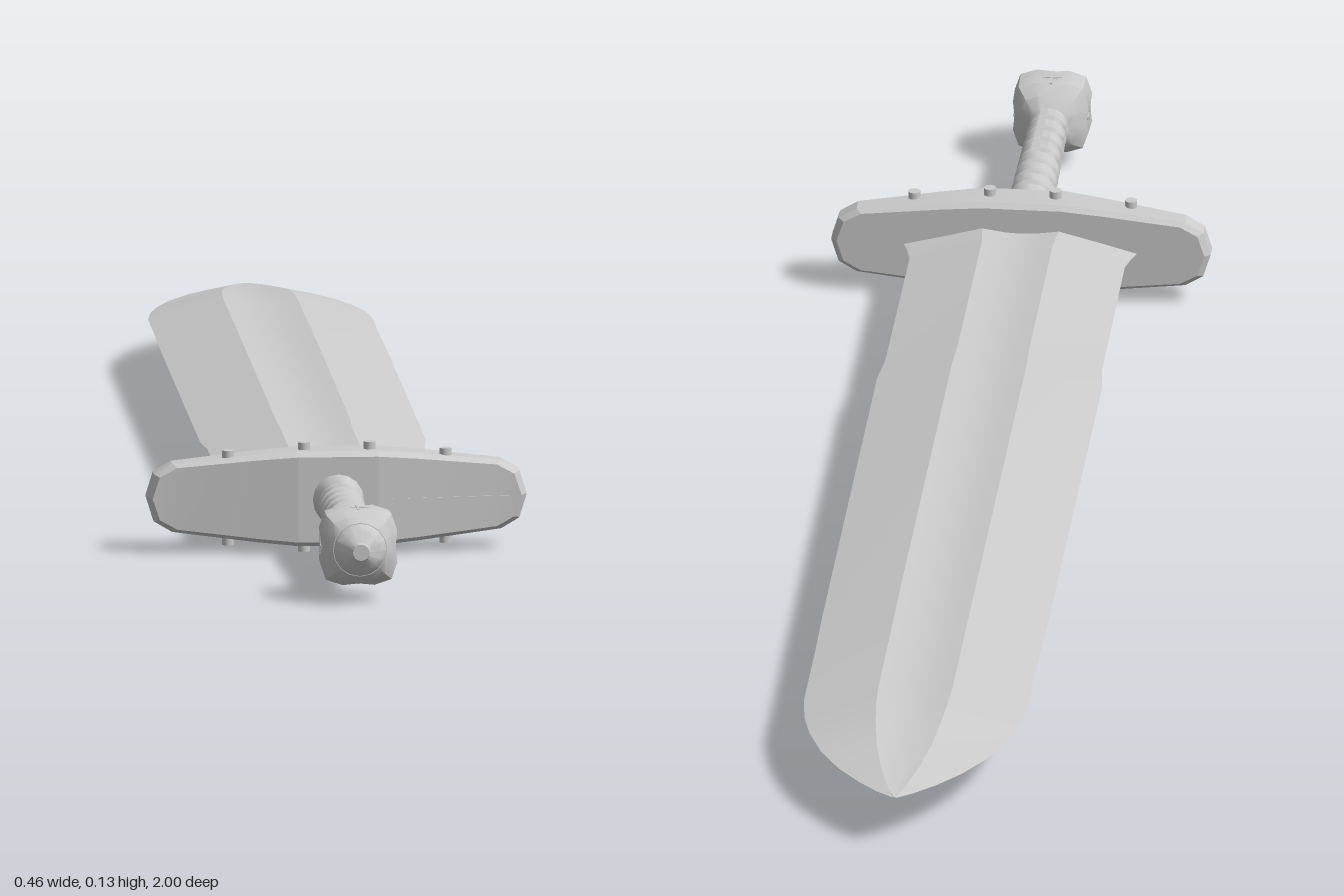
import * as THREE from 'three';
import { toCreasedNormals } from 'three/addons/utils/BufferGeometryUtils.js';

const CY = 0.067; // height of the sword's long axis
const material = new THREE.MeshStandardMaterial({ color: 0xcccccc });

function part(parent, name, geometry) {
  const mesh = new THREE.Mesh(geometry, material);
  mesh.name = name;
  parent.add(mesh);
  return mesh;
}

// Skin through rings of [x, y, z], counter-clockwise seen from +z, ordered by rising z
function loft(rings, crease = 0.5) {
  const n = rings[0].length, pos = [], index = [];
  rings.forEach(r => r.forEach(p => pos.push(...p)));
  for (let k = 0; k < rings.length - 1; k++) {
    for (let i = 0; i < n; i++) {
      const j = (i + 1) % n, a = k * n + i, b = k * n + j;
      index.push(a, b, b + n, a, b + n, a + n);
    }
  }
  const last = (rings.length - 1) * n;
  for (let i = 1; i < n - 1; i++) {
    index.push(0, i + 1, i, last, last + i, last + i + 1);
  }
  const g = new THREE.BufferGeometry();
  g.setAttribute('position', new THREE.Float32BufferAttribute(pos, 3));
  g.setIndex(index);
  return toCreasedNormals(g, crease);
}

// Mirror a quarter outline (from +x axis to +y axis) into a full loop
function mirrorQuarter(q) {
  const half = [...q, ...q.slice(0, -1).reverse().map(([x, y]) => [-x, y])];
  return [...half, ...half.slice(1, -1).reverse().map(([x, y]) => [x, -y])];
}

// Bevelled blade with a shallow central fuller: [z, half width, half thickness]
function bladeGeometry() {
  const section = mirrorQuarter([[1, 0], [0.33, 1], [0.27, 0.95], [0.12, 0.83], [0, 0.8]]);
  const stations = [
    [-1, 0.002, 0.001], [-0.985, 0.022, 0.003], [-0.96, 0.047, 0.006], [-0.925, 0.075, 0.01],
    [-0.88, 0.101, 0.015], [-0.83, 0.12, 0.021], [-0.79, 0.13, 0.0245], [-0.74, 0.136, 0.025],
    [-0.6, 0.136, 0.0255], [-0.5, 0.137, 0.027], [0.17, 0.137, 0.027], [0.22, 0.132, 0.0255],
    [0.51, 0.131, 0.0255], [0.535, 0.137, 0.0255], [0.56, 0.146, 0.0255],
  ];
  return loft(stations.map(([z, w, t]) => section.map(([x, y]) => [x * w, y * t, z])), 0.15);
}

// Tapered crossguard plate with chamfered rims and a faceted front
function guardGeometry() {
  const outline = mirrorQuarter([[0.231, 0], [0.222, 0.029], [0.2, 0.042], [0.1, 0.0535], [0.05, 0.058], [0, 0.058]]);
  const front = x => 0.605 - 0.02 * THREE.MathUtils.clamp((Math.abs(x) - 0.05) / 0.16, 0, 1);
  const ring = (inset, z) => outline.map(([x, y]) =>
    [x * (1 - inset * 0.3), y * (1 - inset), z(x)]);
  return loft([
    ring(0.1, () => 0.549),
    ring(0, () => 0.555),
    ring(0, x => front(x) - 0.01),
    ring(0.1, front),
    outline.map(([x, y]) => [x * 0.97, 0, front(x)]),
  ], 0.12);
}

// Ribbed grip, turned around the long axis
function gripGeometry() {
  const p = [[0, 0.58], [0.031, 0.58], [0.031, 0.615], [0.027, 0.645], [0.022, 0.65]];
  const ribs = 8, start = 0.652, step = 0.0315;
  for (let i = 0; i < ribs; i++) {
    const z = start + i * step, r = 0.028 - 0.0005 * i;
    p.push([r - 0.005, z], [r, z + 0.005], [r, z + 0.023], [r - 0.005, z + 0.028]);
  }
  p.push([0.022, 0.915], [0, 0.915]);
  const g = new THREE.LatheGeometry(p.map(([r, z]) => new THREE.Vector2(r, z)), 16);
  return toCreasedNormals(g.rotateX(Math.PI / 2), 0.6);
}

// Pommel: bulging rounded-square block, [z, radius, squareness]
function pommelGeometry() {
  const stations = [
    [0.895, 0.024, 0], [0.905, 0.035, 0.5], [0.92, 0.044, 0.8],
    [0.955, 0.045, 0.8], [0.97, 0.038, 0.5], [0.978, 0.033, 0],
  ];
  return loft(stations.map(([z, r, s]) => {
    const ring = [];
    for (let i = 0; i < 16; i++) {
      const a = i / 16 * Math.PI * 2, c = Math.cos(a), d = Math.sin(a);
      const k = r * (1 + s * 0.32 * Math.sin(2 * a) ** 2);
      ring.push([c * k, d * k, z]);
    }
    return ring;
  }), 0.5);
}

export function createModel() {
  const sword = new THREE.Group();
  sword.name = 'sword';

  part(sword, 'blade', bladeGeometry());
  part(sword, 'guard', guardGeometry());
  part(sword, 'grip', gripGeometry());

  // Pommel with domed end cap and cross-shaped inlays on its four sides
  const pommel = new THREE.Group();
  pommel.name = 'pommel';
  sword.add(pommel);
  part(pommel, 'pommelBlock', pommelGeometry());
  const dome = [[0.033, 0.975], [0.031, 0.982], [0.024, 0.99], [0.012, 0.997], [0.01, 1], [0, 1]];
  const domeGeometry = new THREE.LatheGeometry(dome.map(([r, z]) => new THREE.Vector2(r, z)), 16);
  part(pommel, 'pommelCap', toCreasedNormals(domeGeometry.rotateX(Math.PI / 2), 0.5));
  for (let i = 0; i < 4; i++) {
    const cross = new THREE.Group();
    cross.name = 'pommelCross';
    cross.rotation.z = i * Math.PI / 2;
    pommel.add(cross);
    part(cross, 'crossBar', new THREE.BoxGeometry(0.003, 0.03, 0.003)).position.set(0.0445, 0, 0.938);
    part(cross, 'crossStem', new THREE.BoxGeometry(0.003, 0.003, 0.034)).position.set(0.0445, 0, 0.938);
  }

  // Rivets along the top and bottom of the guard
  for (const side of [1, -1]) {
    for (const [x, y] of [[-0.132, 0.053], [-0.04, 0.062], [0.04, 0.062], [0.132, 0.053]]) {
      const rivet = part(sword, 'rivet', new THREE.CylinderGeometry(0.0075, 0.0075, 0.01, 10));
      rivet.position.set(x, side * y, 0.578);
    }
  }

  sword.children.forEach(c => { c.position.y += CY; });
  const model = new THREE.Group();
  model.add(sword);
  return model;
}
